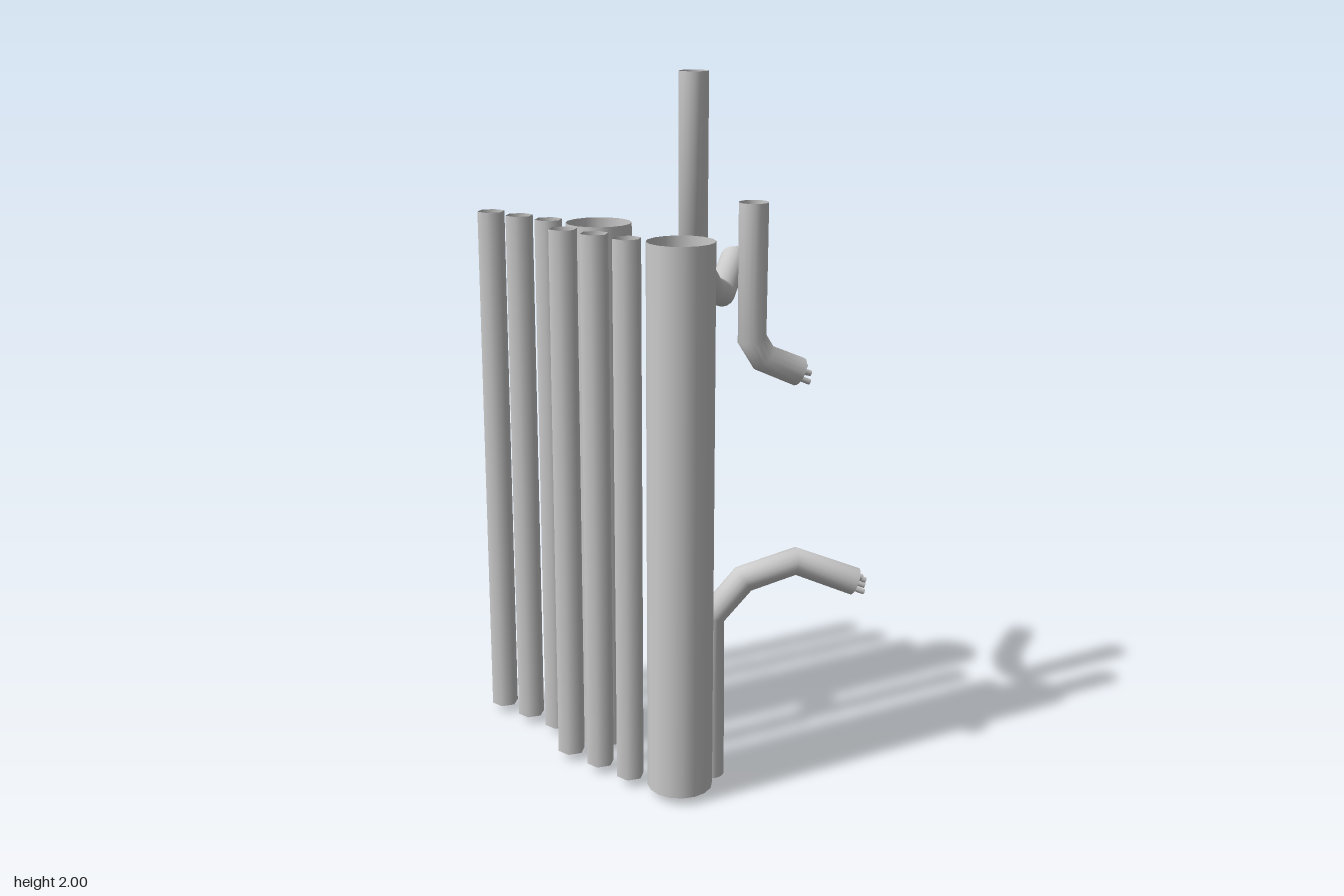
import * as THREE from 'three';

const material = new THREE.MeshStandardMaterial({ color: 0xcccccc, side: THREE.DoubleSide });
const BOTTOM = 0.023, TOP = 1.577;

// Path through points whose rings sit exactly on the bends
class BentPath extends THREE.Curve {
  constructor(points) {
    super();
    this.points = points;
  }
  getPoint(t, target = new THREE.Vector3()) {
    const p = this.points, f = t * (p.length - 1);
    const i = Math.min(Math.floor(f + 1e-6), p.length - 2);
    return target.lerpVectors(p[i], p[i + 1], f - i);
  }
  getPointAt(t, target) {
    return this.getPoint(t, target);
  }
  getTangentAt(t, target = new THREE.Vector3()) {
    const p = this.points, i = Math.round(t * (p.length - 1));
    target.set(0, 0, 0);
    if (i > 0) target.add(p[i].clone().sub(p[i - 1]).normalize());
    if (i < p.length - 1) target.add(p[i + 1].clone().sub(p[i]).normalize());
    return target.normalize();
  }
}

// Open vertical pipe
function pipe(name, x, z, radius, sides) {
  const geometry = new THREE.CylinderGeometry(radius, radius, TOP - BOTTOM, sides, 1, true);
  const mesh = new THREE.Mesh(geometry, material);
  mesh.position.set(x, (TOP + BOTTOM) / 2, z);
  mesh.name = name;
  return mesh;
}

// Bent open sleeve with bare wires sticking out of its end
function cable(name, radius, coords) {
  const group = new THREE.Group();
  group.name = name;
  const points = coords.map(c => new THREE.Vector3(...c));
  const sleeve = new THREE.Mesh(
    new THREE.TubeGeometry(new BentPath(points), points.length - 1, radius, 16, false), material);
  sleeve.name = 'sleeve';
  group.add(sleeve);

  const end = points[points.length - 1];
  const dir = end.clone().sub(points[points.length - 2]).normalize();
  const wires = new THREE.Group();
  wires.name = 'wires';
  wires.position.copy(end);
  wires.quaternion.setFromUnitVectors(new THREE.Vector3(0, 1, 0), dir);
  for (let i = 0; i < 5; i++) {
    const length = 0.055 + 0.01 * ((i * 2) % 3);
    const wire = new THREE.Mesh(new THREE.CylinderGeometry(0.008, 0.008, length, 8), material);
    const angle = i * Math.PI * 2 / 5;
    wire.position.set(0.02 * Math.cos(angle), length / 2 - 0.04, 0.02 * Math.sin(angle));
    wire.name = 'wire';
    wires.add(wire);
  }
  group.add(wires);
  return group;
}

export function createModel() {
  const model = new THREE.Group();
  model.name = 'pipesAndCables';

  // Two wide pipes
  model.add(pipe('widePipeFront', -0.232, 0.252, 0.092, 16));
  model.add(pipe('widePipeBack', -0.142, -0.128, 0.092, 16));

  // Two rows of three thin six-sided pipes
  for (let i = 0; i < 3; i++) {
    model.add(pipe('thinPipeFront', -0.288, 0.112 - 0.118 * i, 0.04, 6));
    model.add(pipe('thinPipeBack', -0.194, -0.274 - 0.118 * i, 0.04, 6));
  }

  // Cut cables: two hanging from above, two rising from below
  model.add(cable('upperLongCable', 0.04, [
    [-0.093, 2, 0.175], [-0.093, 1.51, 0.175], [0.005, 1.405, 0.153],
    [0.124, 1.367, 0.096], [0.29, 1.435, 0.008]]));
  model.add(cable('upperShortCable', 0.04, [
    [-0.045, 1.667, 0.343], [-0.045, 1.3, 0.343], [-0.015, 1.245, 0.36], [0.075, 1.198, 0.413]]));
  model.add(cable('lowerLongCable', 0.04, [
    [-0.093, 0, 0.248], [-0.093, 0.49, 0.248], [-0.012, 0.59, 0.298],
    [0.105, 0.635, 0.393], [0.23, 0.567, 0.512]]));
  model.add(cable('lowerShortCable', 0.038, [
    [-0.06, 0.175, 0.083], [-0.06, 0.53, 0.083], [-0.035, 0.6, 0.06], [0.045, 0.645, 0]]));

  return model;
}
